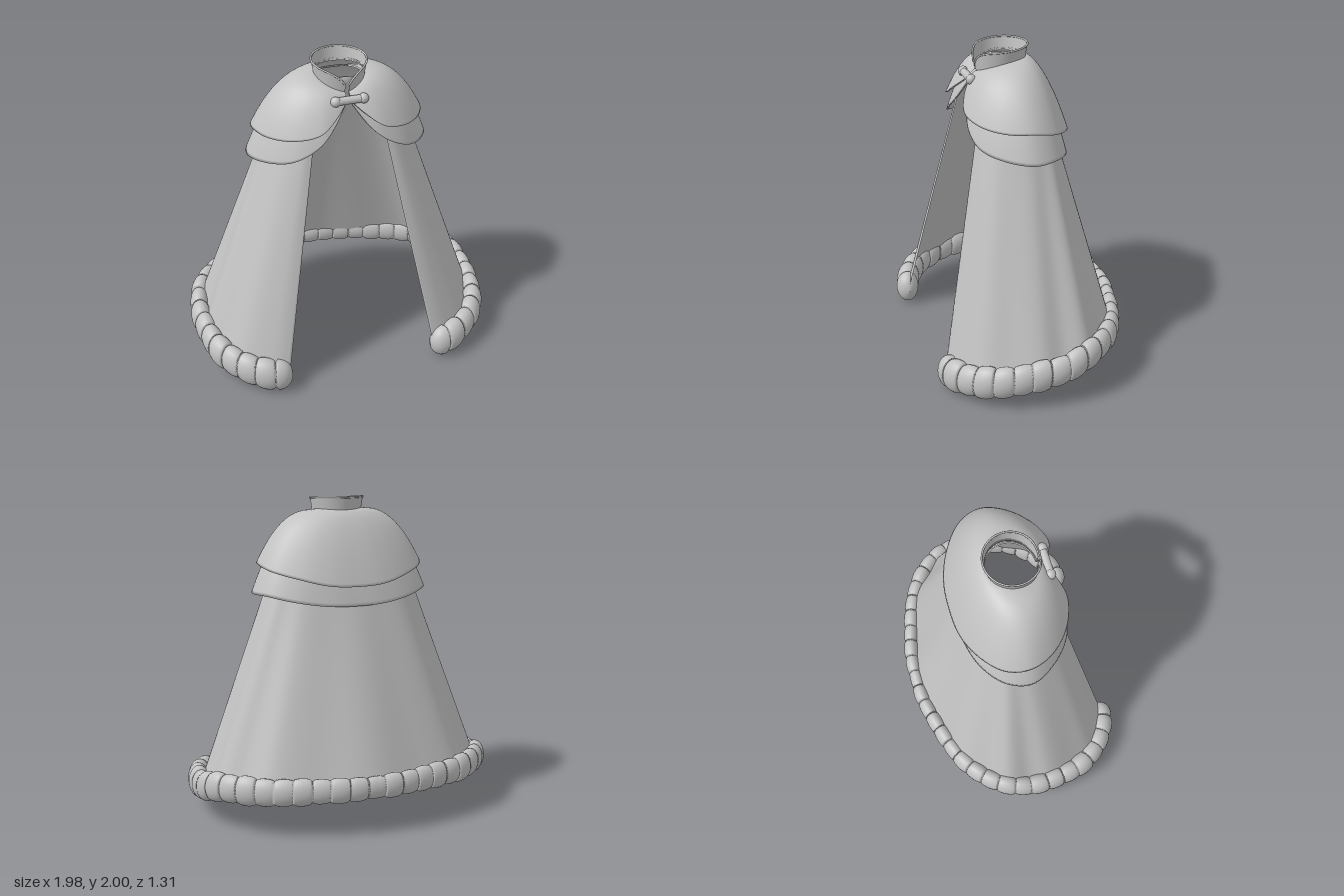
import * as THREE from 'three';
import { ParametricGeometry } from 'three/addons/geometries/ParametricGeometry.js';

const cloth = new THREE.MeshStandardMaterial({ color: 0xc2c2c2, side: THREE.DoubleSide });
cloth.name = 'grey cloth';

const lerp = THREE.MathUtils.lerp;

// Smooth curve round the body: left half from front to back, then its mirror image.
function mirroredCurve(half) {
  const left = half.map((p) => new THREE.Vector3(...p));
  const right = left.slice(0, -1).reverse().map((p) => new THREE.Vector3(-p.x, p.y, p.z));
  return new THREE.CatmullRomCurve3([...left, ...right], false, 'centripetal');
}

// Ring round the neck, open at the front by a small gap and highest at the shoulders.
function neckPoint(u, radius, yFront, yBack, target) {
  const gap = 0.07;
  const a = lerp(gap, Math.PI * 2 - gap, u);
  const back = Math.sqrt((1 - Math.cos(a)) / 2);
  const y = lerp(yFront, yBack, back) + 0.02 * Math.sin(a) ** 2;
  return target.set(Math.sin(a) * radius, y, 0.06 + Math.cos(a) * radius);
}

export function createModel() {
  const model = new THREE.Group();
  model.name = 'cloak';

  function add(name, geometry, parent = model) {
    const mesh = new THREE.Mesh(geometry, cloth);
    mesh.name = name;
    parent.add(mesh);
    return mesh;
  }

  // Sheet spanned by a rule surface(u, t), t running from top to bottom.
  function addSheet(name, surface, slices, stacks) {
    return add(name, new ParametricGeometry((u, v, p) => surface(u, 1 - v, p), slices, stacks));
  }

  // Long body, straight from shoulder to hem with soft folds
  const bodyTop = mirroredCurve([
    [0.19, 1.75, 0.24], [0.23, 1.75, 0.235], [0.3, 1.75, 0.18], [0.345, 1.75, 0.11], [0.365, 1.75, 0.03],
    [0.365, 1.75, -0.03], [0.34, 1.75, -0.08], [0.28, 1.75, -0.115], [0.2, 1.75, -0.14], [0.1, 1.75, -0.153], [0, 1.75, -0.155],
  ]);
  const bodyHem = mirroredCurve([
    [0.48, 0.14, 0.575], [0.61, 0.14, 0.55], [0.75, 0.16, 0.44], [0.85, 0.18, 0.29], [0.89, 0.21, 0.1],
    [0.895, 0.24, -0.05], [0.86, 0.28, -0.2], [0.77, 0.29, -0.33], [0.6, 0.29, -0.45], [0.3, 0.3, -0.55], [0, 0.3, -0.58],
  ]);
  const a = new THREE.Vector3();
  const b = new THREE.Vector3();
  const body = (u, t, p) => {
    bodyTop.getPoint(u, a);
    bodyHem.getPoint(u, b);
    p.lerpVectors(a, b, t);
    const side = Math.sqrt(Math.abs(Math.sin(Math.PI * u)));
    const fold = 1 + 0.022 * Math.sqrt(t) * side * Math.cos((u - 0.5) * Math.PI * 20);
    p.x *= fold;
    p.z *= fold;
    return p;
  };
  addSheet('body', body, 160, 24);

  // Two domed shoulder capes, each a thin shell running down outside and back up inside
  const capes = [
    { name: 'upperCape', yFront: 1.84, yBack: 1.918, hem: [
      [0.012, 1.8, 0.26], [0.1, 1.72, 0.32], [0.2, 1.65, 0.348], [0.35, 1.61, 0.295], [0.48, 1.595, 0.17],
      [0.535, 1.595, 0.02], [0.495, 1.565, -0.12], [0.355, 1.525, -0.24], [0.18, 1.485, -0.31], [0, 1.475, -0.325]] },
    { name: 'lowerCape', yFront: 1.82, yBack: 1.87, hem: [
      [0.012, 1.79, 0.25], [0.1, 1.66, 0.3], [0.2, 1.56, 0.33], [0.35, 1.475, 0.305], [0.48, 1.435, 0.2],
      [0.57, 1.415, 0.03], [0.525, 1.415, -0.12], [0.375, 1.385, -0.235], [0.18, 1.358, -0.29], [0, 1.352, -0.3]] },
  ];
  for (const { name, yFront, yBack, hem } of capes) {
    const hemCurve = mirroredCurve(hem);
    const cape = (u, t, p) => {
      const s = 1 - Math.abs(2 * t - 1);
      const inset = t > 0.5 ? 1 : 0;
      neckPoint(u, 0.153, yFront, yBack, a);
      hemCurve.getPoint(u, b);
      const out = Math.pow(s, lerp(0.7, 0.5, Math.sin(2 * Math.PI * u) ** 2));
      p.set(lerp(a.x, b.x, out), lerp(a.y, b.y, Math.pow(s, 1.2)), lerp(a.z, b.z, out));
      p.x *= 1 - 0.02 * inset;
      p.z *= 1 - 0.02 * inset;
      p.y -= 0.008 * inset;
      return p;
    };
    addSheet(name, cape, 120, 60);
  }

  // Standing collar, dipping towards the front gap
  const collar = (u, t, p) => {
    const front = Math.abs(2 * u - 1);
    neckPoint(u, lerp(0.165, 0.152, t), 1.82, 1.9, p);
    const top = 1.994 - 0.03 * front ** 2 - 0.075 * front ** 10;
    p.y = lerp(top, p.y, t);
    return p;
  };
  addSheet('collar', collar, 80, 6);
  const rim = [];
  for (let i = 0; i <= 60; i++) rim.push(collar(i / 60, 0, new THREE.Vector3()));
  add('collarRim', new THREE.TubeGeometry(new THREE.CatmullRomCurve3(rim), 120, 0.006, 8));

  // Clasp: bar between two round studs
  const clasp = new THREE.Group();
  clasp.name = 'clasp';
  clasp.position.set(0, 1.815, 0.27);
  model.add(clasp);
  for (const s of [-1, 1]) {
    add('claspStud', new THREE.SphereGeometry(0.031, 20, 14), clasp).position.x = s * 0.085;
  }
  add('claspBar', new THREE.CylinderGeometry(0.024, 0.024, 0.16, 16), clasp).rotation.z = Math.PI / 2;

  // Lining tab and crescent pad inside the back
  const tab = add('liningTab', new THREE.CapsuleGeometry(0.073, 0.14, 6, 20));
  tab.position.set(0, 1.58, -0.195);
  tab.rotation.x = 0.29;
  tab.scale.z = 0.35;
  const pad = add('liningPad', new THREE.SphereGeometry(1, 24, 10, 0, Math.PI * 2, Math.PI / 2, Math.PI / 2));
  pad.position.set(0, 1.505, -0.228);
  pad.rotation.x = 0.29;
  pad.scale.set(0.17, 0.1, 0.03);

  // Fur trim: one swept roll with soft puffs, slimmer towards the back and rounded at its ends
  const furCurve = mirroredCurve([
    [0.465, 0.112, 0.577], [0.555, 0.112, 0.572], [0.65, 0.125, 0.54], [0.77, 0.15, 0.455], [0.87, 0.18, 0.31],
    [0.915, 0.21, 0.1], [0.922, 0.235, -0.05], [0.885, 0.275, -0.2], [0.79, 0.29, -0.34], [0.62, 0.29, -0.465],
    [0.35, 0.295, -0.56], [0.15, 0.295, -0.605], [0, 0.295, -0.61],
  ]);
  const puffs = 37;
  const endLength = 0.024;
  const fur = (u, v, p) => {
    const front = Math.abs(2 * u - 1);
    const end = Math.min(1, (1 - front) / 2 / endLength);
    const cap = Math.sqrt(Math.max(0, 1 - (1 - end) ** 2));
    const puff = 0.85 + 0.17 * Math.sqrt(Math.abs(Math.sin(Math.PI * puffs * u)));
    const size = (end < 1 ? 1.02 * cap : puff) * (1 + 0.04 * Math.sin(Math.floor(u * puffs) * 2.4) * (end < 1 ? 0 : 1));
    furCurve.getPointAt(u, p);
    const dir = furCurve.getTangentAt(u, b).setY(0).normalize();
    const angle = v * Math.PI * 2;
    const across = Math.cos(angle) * size * lerp(0.045, 0.076, front);
    p.x += dir.z * across;
    p.z -= dir.x * across;
    p.y += Math.sin(angle) * size * lerp(0.07, 0.111, front ** 0.8);
    return p;
  };
  add('furTrim', new ParametricGeometry(fur, puffs * 12, 24));
  return model;
}
